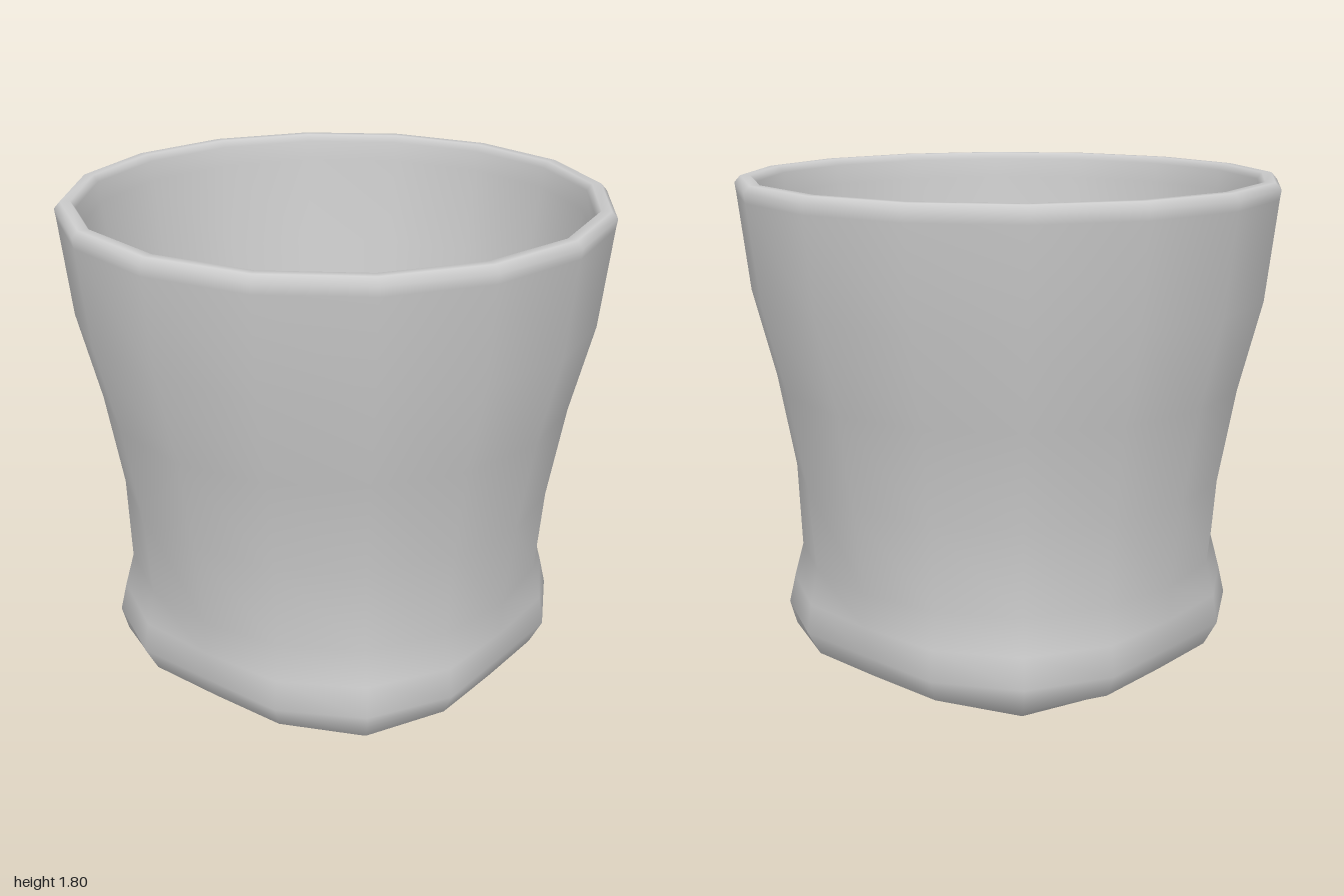
import * as THREE from 'three';

const glassMat = new THREE.MeshStandardMaterial({ color: 0xcccccc });
glassMat.name = 'clear grey';

// Skin a list of closed rings (each clockwise seen from above, ordered along the surface)
function loft(rings) {
  const n = rings[0].length;
  const index = [];
  for (let r = 0; r < rings.length - 1; r++) {
    for (let i = 0; i < n; i++) {
      const j = (i + 1) % n;
      const a = r * n + i, b = r * n + j, c = a + n, d = b + n;
      index.push(a, b, c, b, d, c);
    }
  }
  const geo = new THREE.BufferGeometry().setFromPoints(rings.flat());
  geo.setIndex(index);
  geo.computeVertexNormals();
  return geo;
}

function addMesh(group, name, geo) {
  const mesh = new THREE.Mesh(geo, glassMat);
  mesh.name = name;
  group.add(mesh);
  return mesh;
}

// Sixteen-sided ring: radius on the sides, between, and on the diagonals
function tumblerRing([y, side, between = side, corner = side]) {
  const radii = [side, between, corner, between];
  return Array.from({ length: 16 }, (_, i) => {
    const t = (i * Math.PI) / 8, r = radii[i % 4];
    return new THREE.Vector3(r * Math.sin(t), y, -r * Math.cos(t));
  });
}

// Lump of ice: smooth outline in plan, domed above and below
function iceGeometry(outline, cx, cz, top) {
  const curve = new THREE.CatmullRomCurve3(
    outline.map(([x, z]) => new THREE.Vector3(x, 0, z)), true, 'centripetal');
  const plan = curve.getPoints(48).slice(0, 48);
  const levels = [[0, 0], [0.2, 0.005], [0.45, 0.02], [0.7, 0.05], [0.88, 0.09],
    [0.98, 0.14], [1, 0.19], [0.95, 0.25], [0.8, 0.31], [0, 0.34]];
  return loft(levels.map(([s, drop]) => plan.map((p) =>
    new THREE.Vector3(cx + s * (p.x - cx), top - drop, cz + s * (p.z - cz)))));
}

export function createModel() {
  const model = new THREE.Group();
  model.name = 'tumblerWithIce';

  // Glass: inner floor, inner wall, rim, outer wall, squared foot, underside
  const profile = [
    [0.2, 0], [0.2, 0.66], [0.23, 0.715], [0.4, 0.735], [0.8, 0.775], [1.03, 0.805],
    [1.37, 0.87], [1.7, 0.918], [1.775, 0.925], [1.8, 0.942],
    [1.8, 0.978], [1.775, 1], [1.74, 0.995],
    [1.38, 0.955], [1.05, 0.873], [0.7, 0.812], [0.38, 0.772, 0.785, 0.8],
    [0.25, 0.77, 0.815, 0.835], [0.14, 0.77, 0.832, 0.86], [0.05, 0.73, 0.785, 0.835],
    [0, 0.64, 0.69, 0.765], [0, 0.58, 0.63, 0.7], [0, 0],
  ];
  addMesh(model, 'glass', loft(profile.map(tumblerRing)));

  // Drink
  const drink = addMesh(model, 'drink', new THREE.CylinderGeometry(0.8, 0.7, 0.8, 16));
  drink.position.y = 0.63;

  // Ice
  addMesh(model, 'largeIceCube', iceGeometry([
    [0.18, -0.56], [0.26, -0.58], [0.45, -0.41], [0.64, -0.28], [0.66, -0.2], [0.5, -0.02],
    [0.36, 0.17], [0.27, 0.19], [0.1, 0.03], [-0.1, -0.1], [-0.12, -0.17], [0.05, -0.34],
  ], 0.27, -0.19, 1.24));
  addMesh(model, 'mediumIceCube', iceGeometry([
    [-0.39, -0.21], [-0.32, -0.22], [-0.24, -0.15], [-0.17, -0.02], [-0.02, 0.1],
    [-0.05, 0.17], [-0.19, 0.31], [-0.31, 0.39], [-0.44, 0.38], [-0.51, 0.27],
    [-0.67, 0.14], [-0.69, 0.05], [-0.66, -0.03], [-0.49, -0.11],
  ], -0.36, 0.08, 1.22));
  addMesh(model, 'smallIceCube', iceGeometry([
    [0.01, 0.36], [0.07, 0.29], [0.14, 0.28], [0.22, 0.3], [0.34, 0.31], [0.42, 0.43],
    [0.38, 0.53], [0.29, 0.65], [0.18, 0.66], [0, 0.62], [0.01, 0.5],
  ], 0.22, 0.44, 1.2));

  return model;
}
